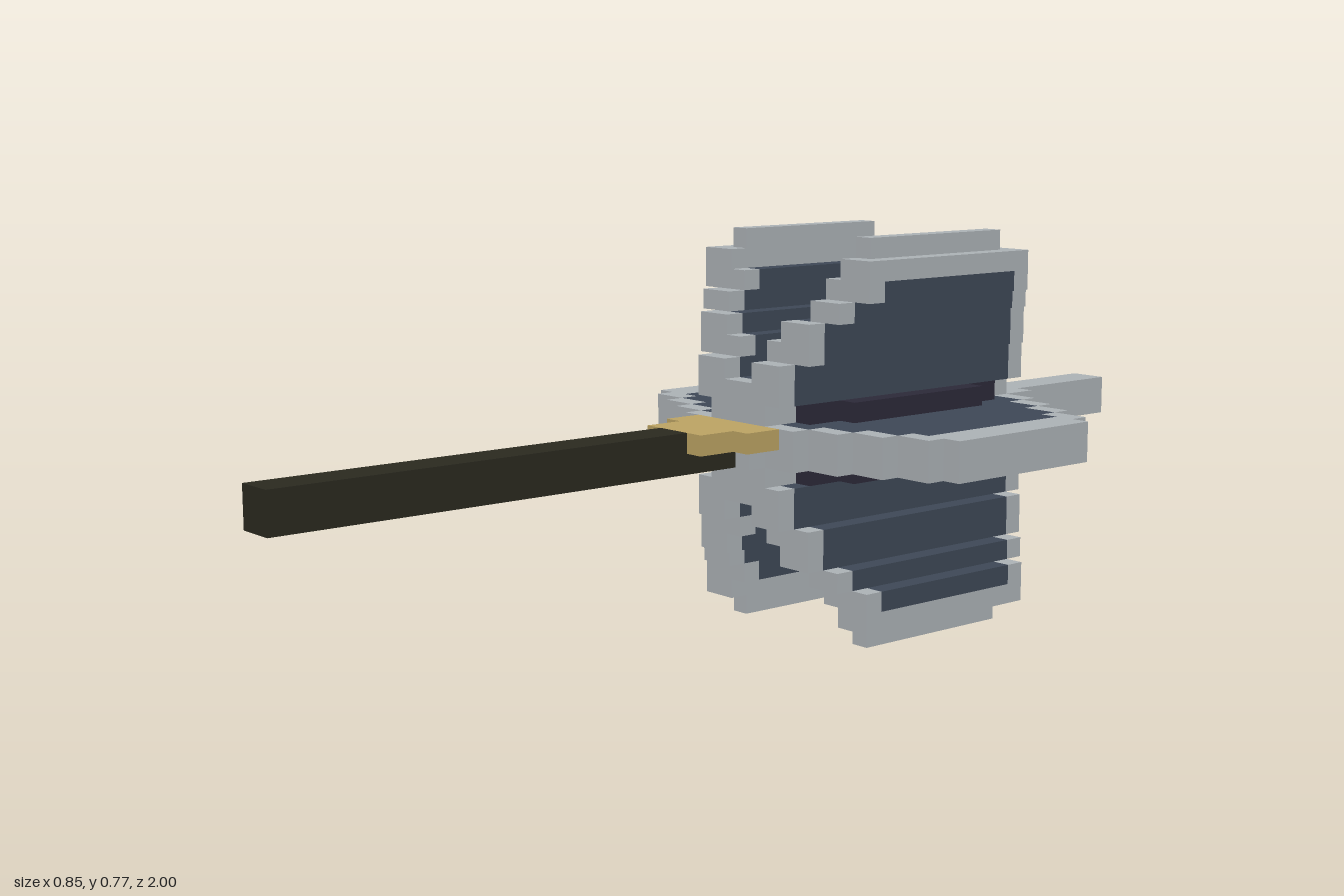
import * as THREE from 'three';

const U = 1 / 26; // one block
const CY = 10;    // height of the shaft axis, in blocks

export function createModel() {
  const mat = (name, color) => Object.assign(new THREE.MeshStandardMaterial({ color }), { name });
  const steel = mat('steel', 0xafb5b9);
  const slate = mat('slate', 0x3f4958);
  const stud = mat('dark stud', 0x2d2a3a);
  const gold = mat('gold', 0xbfa665);
  const grip = mat('dark grip', 0x2b2a20);

  const model = new THREE.Group();
  model.name = 'flangedMace';

  // Box from block bounds; y is measured from the shaft axis.
  function box(parent, name, material, x0, x1, y0, y1, z0, z1) {
    const g = new THREE.BoxGeometry(Math.abs(x1 - x0) * U, Math.abs(y1 - y0) * U, (z1 - z0) * U);
    const m = new THREE.Mesh(g, material);
    m.position.set((x0 + x1) / 2 * U, (CY + (y0 + y1) / 2) * U, (z0 + z1) / 2 * U);
    m.name = name;
    parent.add(m);
  }

  // Slate slab with a steel block at its front and back ends.
  function slab(parent, name, x0, x1, y0, y1, z0, z1) {
    box(parent, name + 'Panel', slate, x0, x1, y0, y1, z0 + 1, z1 - 1);
    box(parent, name + 'FrontRim', steel, x0, x1, y0, y1, z1 - 1, z1);
    box(parent, name + 'BackRim', steel, x0, x1, y0, y1, z0, z0 + 1);
  }

  function group(name) {
    const g = new THREE.Group();
    g.name = name;
    model.add(g);
    return g;
  }

  // Shaft, collar and rear spike
  box(model, 'handleLower', grip, -1, 1, -1, 0, 1, 26);
  box(model, 'handleUpper', grip, -1, 1, 0, 1, 4, 26);
  box(model, 'collarFront', gold, -2, 2, 0, 1, 2, 4);
  box(model, 'collarBack', gold, -3, 3, 0, 1, 0, 2);
  box(model, 'rearSpike', steel, -1, 1, -1, 1, -26, -19);

  // Core of the head
  const core = group('headCore');
  box(core, 'hubUpper', steel, -2, 2, 0, 1, -19, 0);
  box(core, 'hubLower', steel, -2, 2, -1, 0, -19, 1);
  for (const s of [1, -1]) {
    box(core, 'coreBody', steel, -2, 2, s, 2 * s, -17, 0);
    slab(core, 'core', -3, 3, 2 * s, 3 * s, -17, 0);
    box(core, 'ridgeStud', stud, -1, 1, 3 * s, 4 * s, -13, -4);
  }

  // Side flanges: [inner x, outer x, back z, front z]
  const sideSteps = [[2, 4, -17, 0], [4, 6, -16, -1], [6, 8, -15, -2], [8, 9, -14, -3]];
  for (const sx of [1, -1]) {
    const flange = group(sx > 0 ? 'leftFlange' : 'rightFlange');
    for (const [a, b, z0, z1] of sideSteps) slab(flange, 'flange', a * sx, b * sx, -1, 1, z0, z1);
    box(flange, 'edgeInner', steel, 9 * sx, 10 * sx, -1, 1, -14, -3);
    box(flange, 'edgeOuter', steel, 10 * sx, 11 * sx, -1, 1, -13, -4);
  }

  // Diagonal flanges, row by row: [row, inner x, outer x, back z, front z]
  const rows = [[3, 1, 3, -17, 0], [4, 1, 4, -16, -1], [5, 2, 4, -16, -1], [6, 3, 5, -15, -2], [7, 3, 6, -14, -3]];
  for (const sx of [1, -1]) for (const sy of [1, -1]) {
    const flange = group((sy > 0 ? 'upper' : 'lower') + (sx > 0 ? 'Left' : 'Right') + 'Flange');
    for (const [r, a, b, z0, z1] of rows) slab(flange, 'flange', a * sx, b * sx, r * sy, (r + 1) * sy, z0, z1);
    box(flange, 'edgeInner', steel, 4 * sx, 6 * sx, 8 * sy, 9 * sy, -14, -3);
    box(flange, 'edgeOuter', steel, 4 * sx, 5 * sx, 9 * sy, 10 * sy, -13, -4);
    // Stepped studs in the valley between flanges
    box(flange, 'valleyStud', stud, 2 * sx, 3 * sx, sy, 2 * sy, -15, -2);
    box(flange, 'valleyStudCap', stud, 3 * sx, 4 * sx, sy, 2 * sy, -13, -4);
  }

  return model;
}
